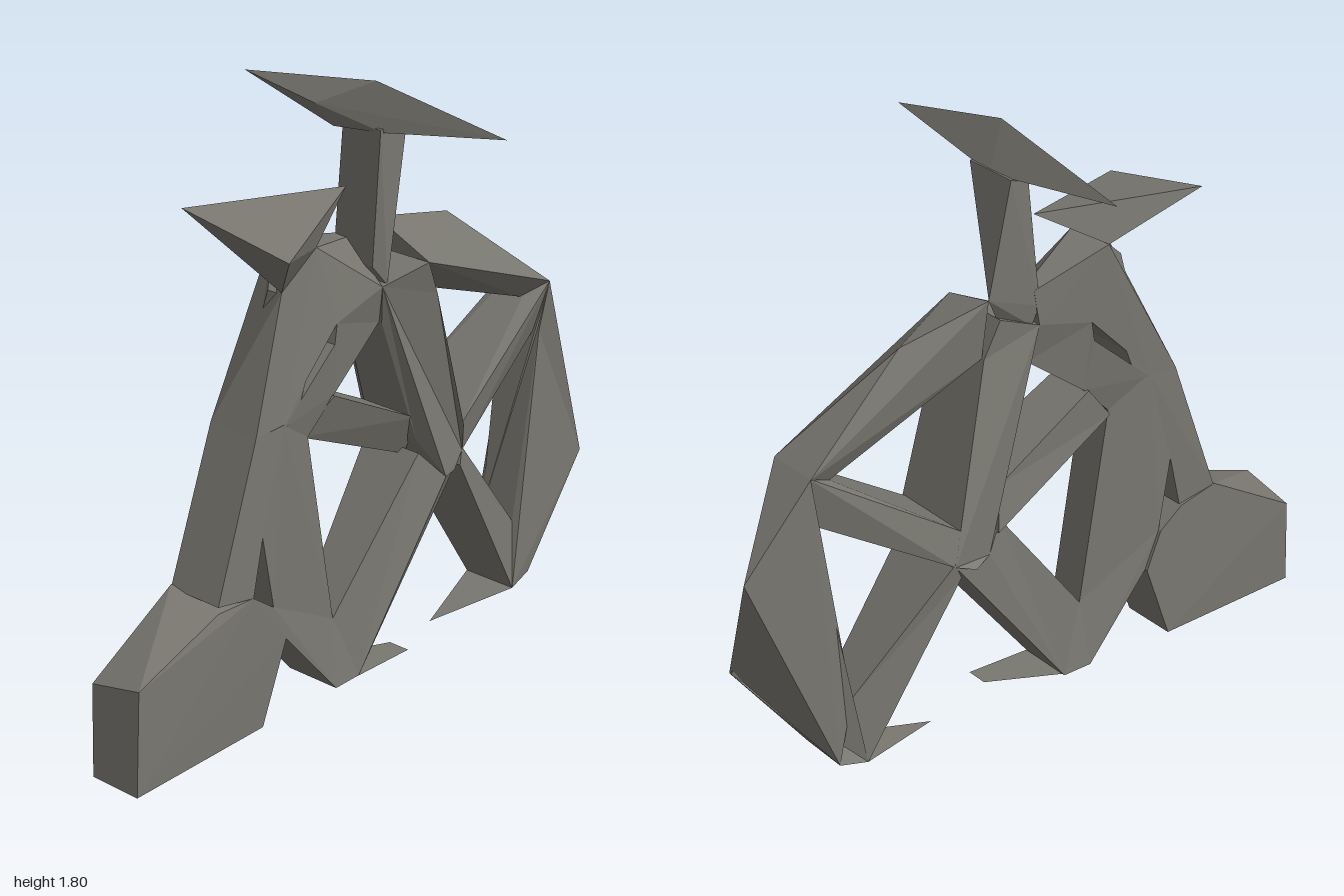
import * as THREE from 'three';
import { ConvexGeometry } from 'three/addons/geometries/ConvexGeometry.js';

const color = 0x797770;
const material = new THREE.MeshStandardMaterial({ color, flatShading: true });
const sheetMaterial = new THREE.MeshStandardMaterial({ color, flatShading: true, side: THREE.DoubleSide });

// Solid from a side outline of [z, y, xLow, xHigh]; every corner has its own width
function slab(outline, hole = []) {
  const corner = ([z, y, a = -0.09, b = 0.09]) => ({ z, y, a, b, v: new THREE.Vector2(z, y) });
  const ring = outline.map(corner);
  const inner = hole.map(corner);
  if (THREE.ShapeUtils.area(ring.map((p) => p.v)) < 0) ring.reverse();
  if (inner.length && THREE.ShapeUtils.area(inner.map((p) => p.v)) > 0) inner.reverse();
  const all = [...ring, ...inner];
  const pos = [];
  const low = (p) => pos.push(p.a, p.y, p.z);
  const high = (p) => pos.push(p.b, p.y, p.z);
  const holes = inner.length ? [inner.map((p) => p.v)] : [];
  for (const [i, j, k] of THREE.ShapeUtils.triangulateShape(ring.map((p) => p.v), holes)) {
    low(all[i]); low(all[j]); low(all[k]);
    high(all[k]); high(all[j]); high(all[i]);
  }
  for (const loop of [ring, inner]) {
    loop.forEach((p, i) => {
      const q = loop[(i + 1) % loop.length];
      low(p); high(p); high(q);
      low(p); high(q); low(q);
    });
  }
  return fromPositions(pos);
}

function fromPositions(pos) {
  const g = new THREE.BufferGeometry();
  g.setAttribute('position', new THREE.Float32BufferAttribute(pos, 3));
  g.computeVertexNormals();
  return g;
}

const hull = (points) => new ConvexGeometry(points.map((p) => new THREE.Vector3(...p)));

// Thin sheet as a fan of triangles
function sheet(points) {
  const pos = [];
  for (let i = 1; i < points.length - 1; i++) pos.push(...points[0], ...points[i], ...points[i + 1]);
  return fromPositions(pos);
}

export function createModel() {
  const group = new THREE.Group();
  const add = (name, geometry, mat = material) => {
    const mesh = new THREE.Mesh(geometry, mat);
    mesh.name = name;
    group.add(mesh);
  };

  // Front block, its top sloping across, and the long fork above it
  add('frontBlock', hull([
    [-0.1, 0.31, 0.98], [0.08, 0.35, 0.98], [-0.09, 0.03, 1], [0.08, 0.03, 1],
    [-0.1, 0.03, 0.5], [0.08, 0.03, 0.5], [-0.1, 0.28, 0.41], [0.09, 0.28, 0.41],
    [-0.1, 0.4, 0.46], [0.09, 0.4, 0.46], [-0.1, 0.49, 0.67], [0.08, 0.46, 0.67],
    [-0.1, 0.46, 0.54], [0.09, 0.46, 0.54],
  ]));
  add('fork', slab([
    [0.67, 0.48, -0.1, 0.08], [0.51, 0.93, -0.09, 0.08], [0.41, 0.94], [0.5, 0.63], [0.54, 0.46],
  ]));
  add('forkCrown', hull([
    [-0.09, 0.93, 0.51], [0.08, 0.93, 0.51], [-0.09, 0.93, 0.41], [0.09, 0.93, 0.41],
    [0.06, 1.31, 0.38], [-0.1, 1.4, 0.24], [0.06, 1.4, 0.24],
  ]));

  // Head of the frame with its slit, and the handlebar
  add('frameHead', slab([
    [0.37, 1.3, 0, 0.06], [0.24, 1.4, -0.1, 0.06], [-0.02, 1.33, -0.09, -0.05], [0, 1.22],
    [-0.02, 1.1, -0.06, 0.06], [0.18, 0.95, -0.07, 0.07], [0.41, 0.93],
  ], [[0.19, 1.17], [0.2, 1.11], [0.34, 0.99], [0.32, 1.04]]));
  add('handlebar', hull([
    [-0.18, 1.53, 0.51], [0.19, 1.46, 0.49], [0, 1.51, 0.05],
    [-0.1, 1.4, 0.24], [0.06, 1.4, 0.24], [0.06, 1.31, 0.38],
  ]));

  // Front wheel rim and its spokes
  add('frontRim', slab([
    [0.41, 0.94], [0.5, 0.63], [0.46, 0.4], [0.41, 0.28], [0.2, 0.03], [0.1, 0.03],
    [0.18, 0.24, -0.06, 0.06], [0.28, 0.85, -0.06, 0.06], [0.18, 0.95, -0.07, 0.07],
  ]));
  add('frontSpoke', slab([
    [0.19, 0.95, -0.08, 0.08], [0.28, 0.84, -0.07, 0.03], [-0.17, 0.63, -0.12, 0.03], [-0.15, 0.77, -0.1, 0.09],
  ]));
  add('lowerFrontSpoke', slab([
    [0.18, 0.24, -0.06, 0.06], [0.1, 0.03], [-0.35, 0.6, -0.155, 0.1], [-0.21, 0.58, -0.13, 0.155], [-0.15, 0.66, -0.1, 0.1],
  ]));

  // Seat tube, bulging at the hub
  add('seatTube', slab([
    [0, 1.22], [-0.13, 1.27, -0.08, 0.15], [-0.18, 1.16, -0.07, 0.14], [-0.32, 0.7, -0.14, 0.13],
    [-0.35, 0.6, -0.155, 0.1], [-0.28, 0.57, -0.16, 0.13], [-0.21, 0.58, -0.13, 0.155], [-0.15, 0.7, -0.09, 0.09], [-0.02, 1.1, -0.07, 0.07],
  ]));
  add('seatPost', hull([
    [0.09, 1.68, 0.01], [-0.09, 1.68, -0.1], [0.09, 1.68, -0.1], [-0.09, 1.66, -0.04],
    [-0.09, 1.28, 0], [0.07, 1.28, 0.02], [-0.08, 1.22, -0.02], [0.09, 1.22, -0.02],
    [-0.08, 1.34, -0.17], [-0.06, 1.27, -0.13],
  ]));
  add('seat', hull([
    [-0.47, 1.72, -0.05], [0.47, 1.72, -0.06], [0.04, 1.8, -0.03],
    [-0.14, 1.71, 0.02], [-0.09, 1.65, 0], [0.09, 1.67, 0], [0, 1.67, -0.1],
  ]));

  // Rear wheel: twisted upper arm, rim and spokes
  add('rearArm', hull([
    [0.15, 1.27, -0.13], [-0.08, 1.34, -0.17], [-0.06, 1.28, -0.46], [-0.09, 1, -0.78], [0.08, 1, -0.78],
    [-0.06, 0.96, -0.7], [0.03, 0.96, -0.7], [-0.06, 1.16, -0.18], [0.05, 1.16, -0.18],
  ]));
  add('rearRim', slab([
    [-0.78, 1, -0.09, 0.08], [-0.96, 0.38, 0.07, 0.08], [-0.71, 0.05, -0.08, 0.08],
    [-0.62, 0.03], [-0.65, 0.24, -0.06, 0.06], [-0.76, 0.84, -0.06, 0.06],
  ]));
  add('rearRimEdge', hull([
    [-0.09, 1, -0.78], [0.08, 1, -0.78], [-0.08, 0.75, -1], [0.08, 0.38, -0.96],
    [-0.08, 0.05, -0.71], [-0.06, 0.84, -0.76], [-0.06, 0.24, -0.65],
  ]));
  add('rearSpoke', slab([
    [-0.78, 1, -0.08, 0.08], [-0.76, 0.84, -0.06, 0.04], [-0.35, 0.6, -0.155, 0.1], [-0.32, 0.7, -0.14, 0.12], [-0.7, 0.96, -0.06, 0.04],
  ]));
  add('lowerRearSpoke', slab([
    [-0.35, 0.61, -0.155, 0.1], [-0.33, 0.56, -0.155, 0.11], [-0.62, 0.03], [-0.65, 0.24, -0.06, 0.06],
  ]));

  // Thin tongues lying near the ground
  add('frontTongue', sheet([
    [-0.09, 0.03, 0.12], [0.09, 0.03, 0.12], [0.1, 0.03, -0.11], [0.03, 0.03, -0.11],
  ]), sheetMaterial);
  add('rearTongue', sheet([[-0.09, 0.03, -0.62], [0, 0, -0.33], [0.09, 0.03, -0.62]]), sheetMaterial);

  return group;
}
